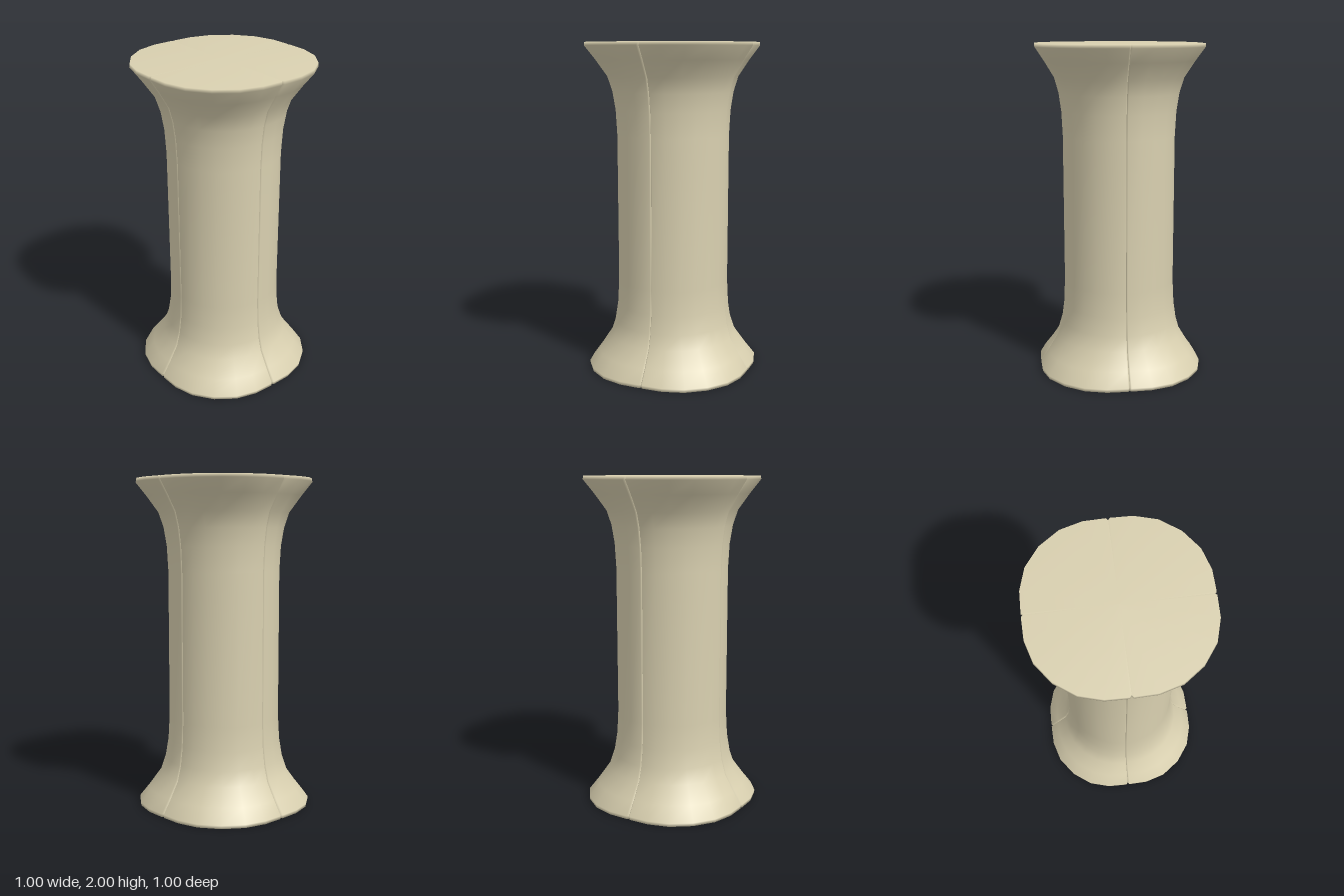
import * as THREE from 'three';

const SHAFT = 0.34, RIM = 0.5;

// One quarter's rim outline in x, z: groove, rounded arc, groove
const outline = [
  [0.487, 0], [0.5, 0.01], [0.497, 0.135], [0.46, 0.263], [0.377, 0.377],
  [0.263, 0.46], [0.135, 0.497], [0.01, 0.5], [0, 0.487],
];

// Lower half of the flared profile as [height, half width]; the upper half mirrors it
const lower = [
  [0, 0.498], [0.02, 0.5], [0.1, 0.447], [0.2, 0.387], [0.29, 0.362],
  [0.4, 0.347], [0.55, 0.34],
];
const profile = [...lower, ...lower.map(([y, r]) => [2 - y, r]).reverse()];

// The cross-section turns from a round shaft into a bulging, nearly square rim
function ringPoint([x, z], halfWidth, isGroove) {
  const t = (halfWidth - SHAFT) / (RIM - SHAFT);
  const k = (isGroove ? SHAFT - 0.01 : SHAFT) / Math.hypot(x, z);
  const s = THREE.MathUtils.lerp(k, 1, t);
  return [x * s, z * s];
}

function quarterGeometry() {
  const n = outline.length, positions = [], index = [];
  for (const [y, r] of profile) {
    outline.forEach((p, i) => {
      const [x, z] = ringPoint(p, r, i === 0 || i === n - 1);
      positions.push(x, y, z);
    });
  }
  const bottom = profile.length * n, top = bottom + 1;
  positions.push(0, 0, 0, 0, 2, 0);

  for (let i = 0; i < n - 1; i++) {
    // Outer wall
    for (let j = 0; j < profile.length - 1; j++) {
      const a = j * n + i, b = a + 1, c = a + n, d = c + 1;
      index.push(a, c, b, b, c, d);
    }
    // Flat end caps, fanned from the axis
    const last = (profile.length - 1) * n + i;
    index.push(bottom, i, i + 1, top, last + 1, last);
  }
  const geometry = new THREE.BufferGeometry();
  geometry.setAttribute('position', new THREE.Float32BufferAttribute(positions, 3));
  geometry.setIndex(index);
  geometry.computeVertexNormals();
  return geometry;
}

export function createModel() {
  const group = new THREE.Group();
  group.name = 'column';
  const cream = new THREE.MeshStandardMaterial({ color: 0xd9d0b0 });
  cream.name = 'cream';

  // Four equal quarters meeting at the grooves
  const geometry = quarterGeometry();
  for (let q = 0; q < 4; q++) {
    const quarter = new THREE.Mesh(geometry, cream);
    quarter.name = `columnQuarter${q + 1}`;
    quarter.rotation.y = q * Math.PI / 2;
    group.add(quarter);
  }
  return group;
}
